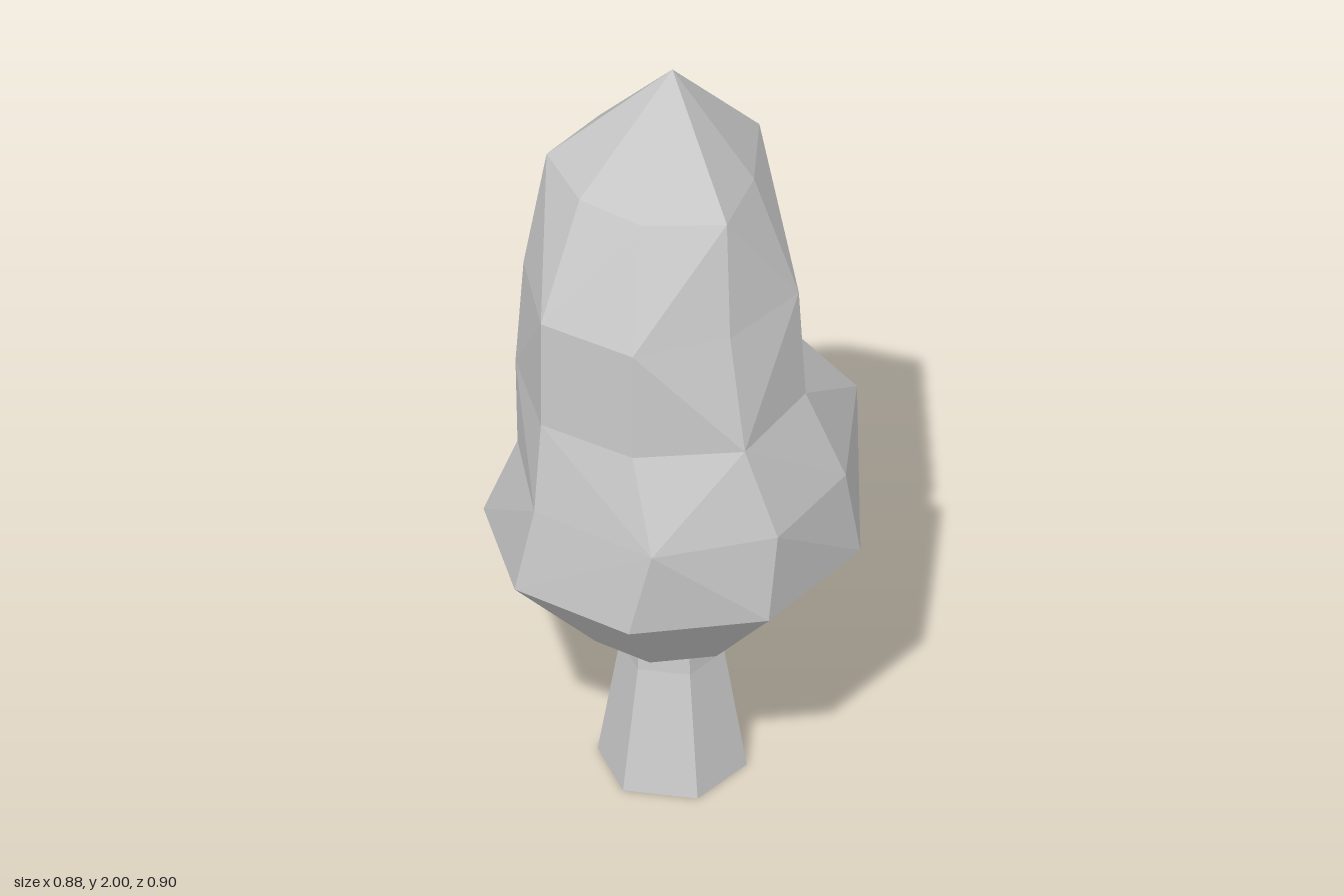
import * as THREE from 'three';

// Foliage cross-sections: height, then eight [x, z] corners from the front towards +x
const RINGS = [
  [0.65, [[0.05, 0.45], [0.335, 0.285], [0.435, -0.05], [0.31, -0.355], [-0.11, -0.45], [-0.365, -0.205], [-0.44, 0.11], [-0.26, 0.38]]],
  [0.88, [[0.105, 0.445], [0.35, 0.265], [0.41, -0.02], [0.31, -0.355], [-0.05, -0.435], [-0.29, -0.19], [-0.35, 0.125], [-0.215, 0.37]]],
  [1.11, [[0.035, 0.385], [0.27, 0.27], [0.32, 0.005], [0.18, -0.23], [-0.09, -0.285], [-0.3, -0.125], [-0.355, 0.125], [-0.21, 0.34]]],
  [1.4, [[0.035, 0.385], [0.22, 0.235], [0.305, 0.01], [0.155, -0.175], [-0.07, -0.225], [-0.3, -0.125], [-0.335, 0.125], [-0.21, 0.34]]],
  [1.69, [[0.01, 0.265], [0.195, 0.19], [0.19, 0], [0.125, -0.205], [-0.07, -0.195], [-0.235, -0.105], [-0.295, 0.08], [-0.16, 0.22]]],
];
const SIDES = 8;

function foliageGeometry() {
  const rings = RINGS.map(([y, pts]) => pts.map(([x, z]) => new THREE.Vector3(x, y, z)));
  // Narrow underside ring, a scaled copy of the widest one
  rings.unshift(rings[0].map((p) => new THREE.Vector3(p.x * 0.475, 0.42, p.z * 0.475 + 0.03)));
  const apex = new THREE.Vector3(0.01, 2, 0.06);
  const base = new THREE.Vector3(0, 0.42, 0.03);
  const positions = [];
  const tri = (...corners) => corners.forEach((p) => positions.push(p.x, p.y, p.z));
  // Distance of an edge's midpoint from the trunk axis
  const reach = (p, q) => Math.hypot(p.x + q.x, p.z + q.z);

  for (let k = 0; k < SIDES; k++) {
    const n = (k + 1) % SIDES;
    for (let r = 0; r < rings.length - 1; r++) {
      const a = rings[r][k], b = rings[r][n], c = rings[r + 1][n], d = rings[r + 1][k];
      // Split each facet along its outward-bulging diagonal
      if (reach(a, c) > reach(b, d)) {
        tri(a, b, c);
        tri(a, c, d);
      } else {
        tri(a, b, d);
        tri(b, c, d);
      }
    }
    const top = rings[rings.length - 1];
    tri(top[k], top[n], apex);
    tri(rings[0][n], rings[0][k], base);
  }
  const geometry = new THREE.BufferGeometry();
  geometry.setAttribute('position', new THREE.Float32BufferAttribute(positions, 3));
  geometry.computeVertexNormals();
  return geometry;
}

export function createModel() {
  const group = new THREE.Group();
  group.name = 'tree';

  // Six-sided trunk, flared at the foot and open underneath
  const profile = [[0.176, 0], [0.123, 0.32], [0.118, 0.42]].map(([r, y]) => new THREE.Vector2(r, y));
  const trunk = new THREE.Mesh(
    new THREE.LatheGeometry(profile, 6, 0.705),
    new THREE.MeshStandardMaterial({ color: 0xcccccc, flatShading: true, side: THREE.DoubleSide }),
  );
  trunk.name = 'trunk';
  trunk.position.z = 0.035;

  // Irregular faceted crown
  const foliage = new THREE.Mesh(
    foliageGeometry(),
    new THREE.MeshStandardMaterial({ color: 0xcccccc, flatShading: true }),
  );
  foliage.name = 'foliage';

  group.add(trunk, foliage);
  return group;
}
